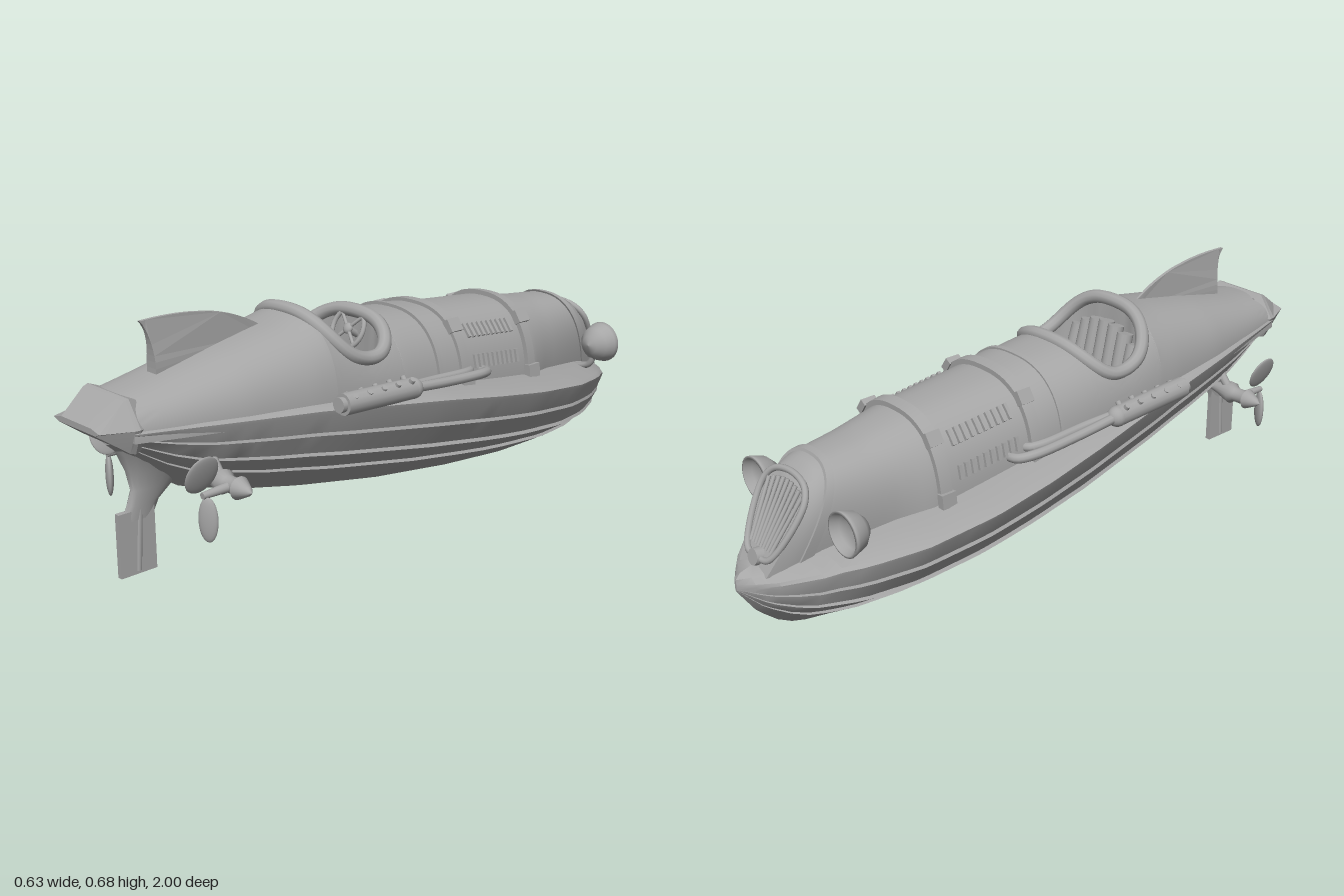
import * as THREE from 'three';
import { toCreasedNormals, mergeVertices } from 'three/addons/utils/BufferGeometryUtils.js';

const V = (x, y, z) => new THREE.Vector3(x, y, z);
const grey = new THREE.MeshStandardMaterial({ color: 0xa6a6a6, side: THREE.DoubleSide });
grey.name = 'plain grey';

// Linear lookup in a [z, value] table
const table = (rows) => (z) => {
  if (z <= rows[0][0]) return rows[0][1];
  for (let i = 1; i < rows.length; i++) {
    const [z0, v0] = rows[i - 1], [z1, v1] = rows[i];
    if (z <= z1) return v0 + (v1 - v0) * (z - z0) / (z1 - z0);
  }
  return rows[rows.length - 1][1];
};
const beam = table([[-1, .004], [-.97, .05], [-.93, .1], [-.85, .17], [-.75, .23], [-.6, .285], [-.4, .311], [-.2, .31], [0, .295], [.3, .25], [.6, .195], [.92, .13]]);
const sheer = table([[-1, .195], [-.8, .25], [-.35, .312], [0, .365], [.4, .41], [.92, .445]]);
const keel = table([[-1, .185], [-.95, .11], [-.9, .06], [-.83, .02], [-.72, .002], [-.55, .002], [-.3, .022], [0, .06], [.3, .115], [.5, .16], [.7, .22], [.8, .285], [.92, .39]]);
const bodyW = table([[-.8, .125], [-.76, .15], [-.62, .168], [-.46, .185], [-.16, .2], [.05, .206], [.33, .208], [.4, .205], [.6, .185], [.8, .152], [.92, .13]]);
const bodyTop = table([[-.8, .475], [-.76, .493], [-.62, .507], [-.46, .535], [-.16, .56], [.05, .58], [.2, .59], [.33, .632], [.4, .615], [.6, .58], [.8, .54], [.92, .52]]);
const rake = table([[-.8, .6], [-.6, 0]]);
const taper = table([[-.8, .5], [-.5, 0]]);
const POW = 2.5;
const steps = (a, b, n) => Array.from({ length: n + 1 }, (_, i) => a + (b - a) * i / n);

// Skin through cross-sections of equal length
function loft(rows, { closed = false, caps = false, crease = .6 } = {}) {
  const n = rows[0].length, pos = [], idx = [];
  rows.forEach((r) => r.forEach((p) => pos.push(p.x, p.y, p.z)));
  for (let i = 0; i < rows.length - 1; i++) {
    for (let j = 0; j < (closed ? n : n - 1); j++) {
      const a = i * n + j, b = i * n + (j + 1) % n;
      idx.push(a, b, a + n, b, b + n, a + n);
    }
  }
  if (caps) [0, rows.length - 1].forEach((r) => {
    const c = rows[r].reduce((s, p) => s.add(p), V(0, 0, 0)).divideScalar(n), k = pos.length / 3;
    pos.push(c.x, c.y, c.z);
    for (let j = 0; j < n; j++) {
      const a = r * n + j, b = r * n + (j + 1) % n;
      r ? idx.push(k, a, b) : idx.push(k, b, a);
    }
  });
  const g = new THREE.BufferGeometry();
  g.setAttribute('position', new THREE.Float32BufferAttribute(pos, 3));
  g.setIndex(idx);
  return toCreasedNormals(g, crease);
}
const mirrored = (half) => [...half, ...half.slice(0, -1).reverse().map((p) => V(-p.x, p.y, p.z))];

// Point on the upper body; t runs 0 (side base) to PI/2 (top), off swells it outward
function bodyPoint(z, t, off = 0) {
  const base = sheer(z) - .02, top = bodyTop(z), h = top - base;
  const x = (bodyW(z) + off) * Math.pow(Math.max(Math.cos(t), 0), 2 / POW);
  const y = base + (h + off) * Math.pow(Math.sin(t), 2 / POW);
  return V(x * (1 - taper(z) * Math.max(0, top - y) / h), y, z - rake(z) * (top - y));
}
// Cockpit opening
const C0 = .075, C1 = .33, CM = (C0 + C1) / 2, CR = (C1 - C0) / 2, FLOOR = .385;
const opening = (z) => .18 * Math.pow(Math.max(0, 1 - Math.pow(Math.abs((z - CM) / CR), 3)), 1 / 3);
const edgeAngle = (z, a) => Math.acos(Math.pow(Math.min(1, a / bodyW(z)), POW / 2));

function bodyRow(z) {
  const open = z >= C0 && z <= C1, a = open ? opening(z) : 0;
  const half = steps(0, edgeAngle(z, a), 16).map((t) => bodyPoint(z, t));
  const e = half[16];
  half.push(...(open ? [V(a, FLOOR + .03, z), V(a * .95, FLOOR, z), V(0, FLOOR, z)] : [e.clone(), e.clone(), e.clone()]));
  return mirrored(half);
}

export function createModel() {
  const root = new THREE.Group();
  root.name = 'speedboat';
  const add = (name, geo, parent = root) => {
    const m = new THREE.Mesh(geo, grey);
    m.name = name;
    parent.add(m);
    return m;
  };
  const tube = (name, pts, r, closed = false, parent = root, seg = 40) =>
    add(name, new THREE.TubeGeometry(new THREE.CatmullRomCurve3(pts, closed), seg, r, 10, closed), parent);
  const rod = (name, a, b, r0, r1 = r0, parent = root) => {
    const m = add(name, new THREE.CylinderGeometry(r1, r0, a.distanceTo(b), 14), parent);
    m.position.copy(a).add(b).multiplyScalar(.5);
    m.quaternion.setFromUnitVectors(V(0, 1, 0), b.clone().sub(a).normalize());
    return m;
  };
  const ball = (name, p, s, parent = root) => {
    const m = add(name, new THREE.SphereGeometry(1, 20, 14), parent);
    m.position.copy(p);
    m.scale.copy(s);
    return m;
  };

  // Hull with stepped strakes, gunwale lip and cambered deck
  const strakes = [[0, 0], [.25, .145], [.52, .3], [.5, .325], [.78, .505], [.76, .535], [.905, .74], [.89, .77], [1, .98]];
  const hullZ = [-1, -.985, -.97, -.95, ...steps(-.93, .92, 44)];
  add('hull', loft(hullZ.map((z) => {
    const w = beam(z), k = keel(z), s = sheer(z);
    const half = strakes.map(([x, y]) => V(x * w, k + (s - k) * y, z));
    half.push(V(w * 1.012, s + .004, z), V(w * .96, s + .012, z), V(w * .6, s + .025, z), V(0, s + .035, z));
    return mirrored(half).slice(0, -1);
  }), { closed: true, caps: true, crease: .5 }));

  // Engine cover, cockpit well and tail deck in one skin
  const bodyZ = [...steps(-.8, .05, 34), C0 - .0005, ...steps(0, Math.PI, 28).map((a) => CM - CR * Math.cos(a)), C1 + .0005, ...steps(.345, .92, 22)];
  bodyZ.sort((a, b) => a - b);
  add('upperBody', loft(bodyZ.map(bodyRow), { caps: true, crease: .7 }));

  // Padded cockpit rim
  const rim = [];
  steps(0, Math.PI * 2, 40).slice(0, -1).forEach((a) => {
    const z = CM - CR * Math.sign(Math.cos(a)) * Math.pow(Math.abs(Math.cos(a)), .67);
    const x = opening(z), p = bodyPoint(z, edgeAngle(z, x));
    rim.push(V(x * Math.sign(Math.sin(a)), p.y, z));
  });
  tube('cockpitRim', rim, .02, true, root, 100);

  // Seat with upright padding rolls
  ball('seatCushion', V(0, .405, .22), V(.14, .035, .085));
  steps(-.12, .12, 6).forEach((x) => rod('seatRoll', V(x, .4, .265), V(x * .95, .575 - x * x * 3, .305), .024));

  // Steering wheel
  const wheel = new THREE.Group();
  wheel.name = 'steeringWheel';
  wheel.position.set(0, .535, .105);
  wheel.rotation.x = -.45;
  root.add(wheel);
  add('wheelRing', new THREE.TorusGeometry(.06, .007, 10, 32), wheel);
  ball('wheelHub', V(0, 0, 0), V(.016, .016, .01), wheel);
  for (let i = 0; i < 4; i++) {
    const a = Math.PI / 4 + i * Math.PI / 2;
    rod('wheelSpoke', V(0, 0, 0), V(Math.cos(a) * .06, Math.sin(a) * .06, 0), .005, .005, wheel);
  }
  rod('steeringColumn', V(0, .53, .1), V(0, .48, .02), .01);

  // Straps and raised panels over the engine cover
  const band = (name, z0, z1, off) => add(name, loft([[z0, -.006], [z0, off], [z1, off], [z1, -.006]].map(([z, o]) =>
    mirrored(steps(.02, Math.PI / 2, 18).map((t) => bodyPoint(z, t, o)))), { crease: .6 }));
  band('frontStrap', -.485, -.45, .014);
  band('rearStrap', -.18, -.145, .014);
  band('cowlPanel', -.145, -.07, .004);
  band('cowlEdge', -.07, -.055, .009);
  band('noseEdge', -.755, -.735, .006);

  // Sloping grille
  const gz = (y) => -.8 - .6 * (.475 - y) - .004;
  steps(-.075, .075, 8).forEach((x) => rod('grilleBar', V(x * .62, .285, gz(.285)), V(x, .445 - x * x * 3, gz(.445 - x * x * 3)), .0055));
  tube('grilleFrame', [[-.05, .27], [-.095, .41], [-.07, .448], [0, .463], [.07, .448], [.095, .41], [.05, .27], [0, .262]].map(([x, y]) => V(x, y, gz(y))), .009, true, root, 60);
  rod('noseCap', V(0, .255, -.9), V(0, .265, -.945), .028, .022);

  // Wedge-shaped stern block
  const oct = (w, y0, y1, z) => mirrored([V(0, y0, z), V(w * .8, y0, z), V(w, (y0 + y1) / 2, z), V(w * .65, y1, z), V(0, y1, z)]).slice(0, -1);
  add('sternBlock', loft([oct(.125, .395, .518, .88), oct(.136, .39, .527, .905), oct(.134, .395, .522, .92), oct(.1, .452, .468, 1)], { closed: true, caps: true, crease: .4 }));

  // Tail fin, thinning towards its tip
  const fin = new THREE.Shape();
  fin.moveTo(.42, .58);
  fin.lineTo(.43, .61);
  fin.quadraticCurveTo(.52, .665, .62, .677);
  fin.quadraticCurveTo(.7, .69, .805, .685);
  fin.quadraticCurveTo(.765, .64, .775, .52);
  fin.lineTo(.42, .58);
  const finGeo = new THREE.ExtrudeGeometry(fin, { depth: .04, bevelEnabled: false, curveSegments: 12 });
  finGeo.translate(0, 0, -.02).rotateY(-Math.PI / 2);
  const fp = finGeo.attributes.position;
  for (let i = 0; i < fp.count; i++) {
    const k = THREE.MathUtils.clamp((.69 - fp.getY(i)) / .12, .25, 1) * THREE.MathUtils.clamp((fp.getZ(i) - .4) / .15, .15, 1);
    fp.setX(i, fp.getX(i) * k);
  }
  finGeo.computeVertexNormals();
  add('tailFin', finGeo);

  // Flared skeg and rudder
  const skeg = [[.17, .79, .89, .009], [.21, .77, .87, .012], [.25, .72, .855, .02], [.3, .66, .865, .038], [.35, .6, .885, .065], [.4, .56, .91, .1]];
  add('skeg', loft(skeg.map(([y, z0, z1, w]) => steps(0, Math.PI * 2, 20).slice(0, -1).map((a) =>
    V(w * Math.sin(a), y, (z0 + z1) / 2 + (z1 - z0) / 2 * Math.cos(a)))), { closed: true, caps: true, crease: .9 }));
  add('rudder', new THREE.BoxGeometry(.016, .175, .11)).position.set(0, .11, .845);
  rod('rudderPost', V(0, .03, .845), V(0, .24, .83), .011);

  // Paired fittings, one group per side
  for (const s of [1, -1]) {
    const side = new THREE.Group();
    side.name = s > 0 ? 'leftFittings' : 'rightFittings';
    root.add(side);
    const P = (x, y, z) => V(s * x, y, z);

    // Louvres and strap buckles
    for (const [t, h] of [[.34, .04], [.78, .045]]) {
      steps(-.41, -.22, 9).forEach((z) => {
        const p = bodyPoint(z, t), q = bodyPoint(z, t + .05);
        const m = add('louvre', new THREE.BoxGeometry(.016, h, .01), side);
        m.position.set(s * p.x, p.y, z);
        m.rotation.z = s * Math.atan2(p.x - q.x, q.y - p.y);
      });
    }
    for (const z of [-.468, -.162]) {
      for (const t of [.15, .85]) {
        const p = bodyPoint(z, t, .014), m = add('buckle', new THREE.BoxGeometry(.022, .04, .046), side);
        m.position.set(s * p.x, p.y, z);
        m.rotation.z = s * t * .7;
      }
    }

    // Exhaust pipes and ported silencer
    tube('outerPipe', [P(.17, .38, -.245), P(.215, .385, -.24), P(.24, .392, -.2), P(.25, .402, -.05), P(.255, .418, .12)], .014, false, side);
    tube('innerPipe', [P(.17, .39, -.19), P(.2, .395, -.185), P(.218, .4, -.15), P(.228, .41, 0), P(.245, .42, .12)], .013, false, side);
    rod('silencer', P(.252, .415, .1), P(.256, .428, .36), .03, .03, side);
    ball('silencerNose', P(.252, .415, .1), V(.03, .03, .03), side);
    rod('silencerTip', P(.256, .428, .355), P(.256, .429, .375), .021, .021, side);
    steps(.12, .33, 4).forEach((z) => [-.6, .6].forEach((a) => {
      const c = P(.254, .42, z), d = V(Math.sin(a), Math.cos(a), 0);
      rod('silencerPort', c, c.clone().addScaledVector(d, .036), .01, .008, side);
    }));

    // Headlamp bowl on a bracket, facing the bow
    const bowl = add('headlamp', new THREE.LatheGeometry([[0, -.06], [.028, -.052], [.05, -.03], [.06, 0], [.063, .012], [.056, .014], [.045, -.008], [.022, -.016], [0, -.018]].map(([r, y]) => new THREE.Vector2(r, y)), 28), side);
    bowl.position.copy(P(.2, .36, -.79));
    bowl.rotation.x = -Math.PI / 2;
    tube('headlampBracket', [P(.2, .33, -.765), P(.18, .29, -.765), P(.12, .27, -.77)], .01, false, side, 14);

    // Propeller pod, strut and blades
    const pod = add('propellerPod', new THREE.LatheGeometry([[.012, -.09], [.018, -.12], [.033, -.175], [.022, -.19], [.022, -.225], [.031, -.235], [.012, -.272], [0, -.285]].reverse().map(([r, y]) => new THREE.Vector2(r, y)), 18), side);
    pod.position.set(0, .28, .69);
    pod.rotation.z = s * Math.PI / 2;
    tube('podStrut', [P(.105, .38, .7), P(.125, .335, .69), P(.165, .285, .69)], .013, false, side, 16);
    rod('propellerShaft', P(.208, .28, .69), P(.208, .277, .785), .014, .009, side);
    ball('lowerBlade', P(.216, .213, .775), V(.027, .06, .011), side).rotation.y = s * .5;
    ball('upperBlade', P(.208, .332, .785), V(.008, .055, .05), side).rotation.z = s * -.35;
  }
  return root;
}
